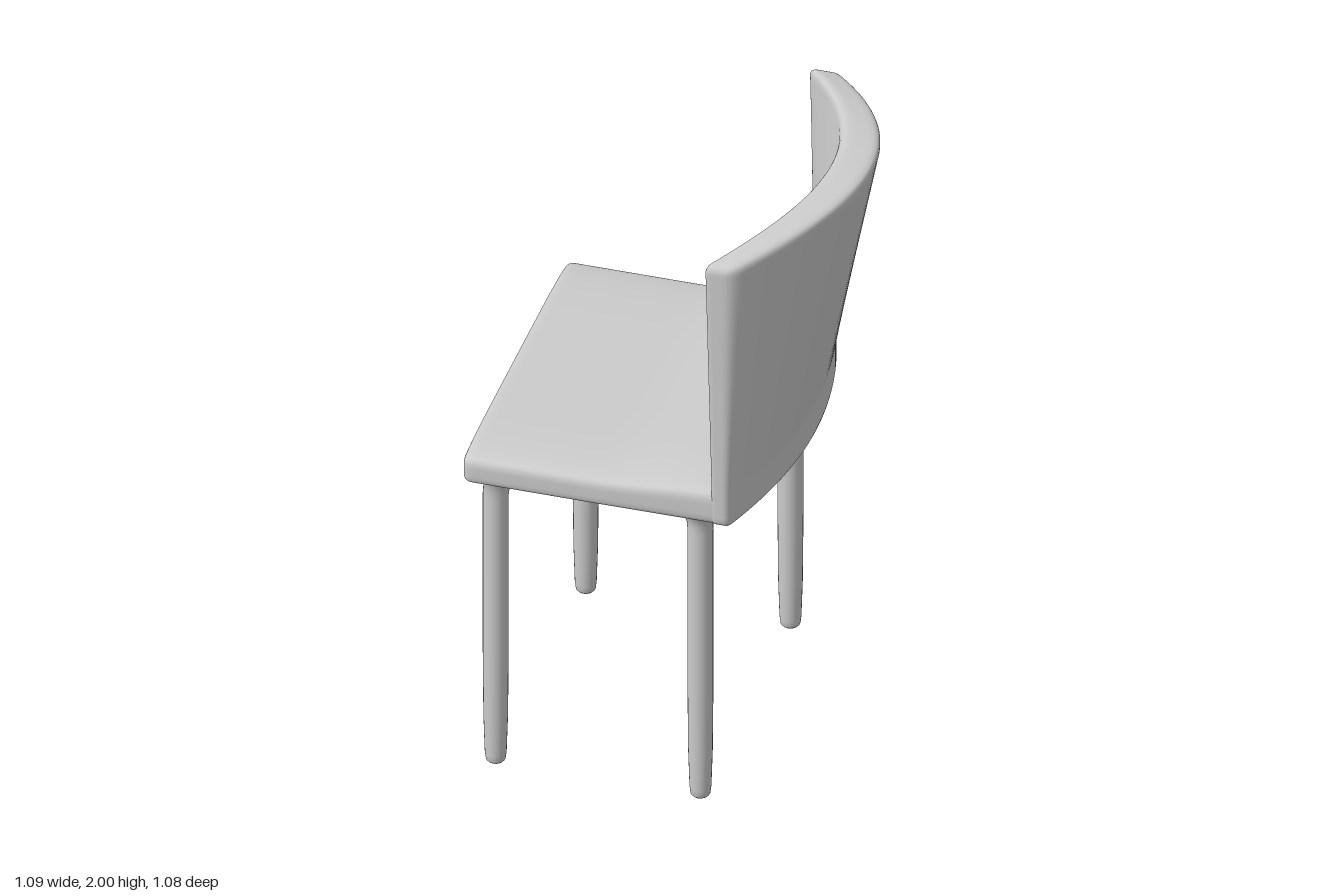
import * as THREE from 'three';
import { mergeVertices } from 'three/addons/utils/BufferGeometryUtils.js';

const { lerp, clamp, smoothstep } = THREE.MathUtils;
const HALF_Z = 0.54, SEAT_Y = 1.01;
const material = new THREE.MeshStandardMaterial({ color: 0xcccccc });

// Box with rounded edges, centred on the origin, whose vertices are then moved by bend(p)
function softBox(size, segments, radius, bend) {
  const box = new THREE.BoxGeometry(2, 2, 2, ...segments);
  box.deleteAttribute('uv');
  box.deleteAttribute('normal');
  const geometry = mergeVertices(box);
  const pos = geometry.attributes.position;
  const p = new THREE.Vector3(), core = new THREE.Vector3();
  const half = size.map((s) => s / 2);
  for (let i = 0; i < pos.count; i++) {
    p.fromBufferAttribute(pos, i);
    // denser rows near the edges
    ['x', 'y', 'z'].forEach((a, k) => {
      p[a] = Math.sin(p[a] * Math.PI / 2) * half[k];
      core[a] = clamp(p[a], radius - half[k], half[k] - radius);
    });
    p.sub(core);
    if (p.lengthSq() > 1e-12) p.setLength(radius);
    p.add(core);
    bend(p);
    pos.setXYZ(i, p.x, p.y, p.z);
  }
  geometry.computeVertexNormals();
  return geometry;
}

function part(name, geometry) {
  const mesh = new THREE.Mesh(geometry, material);
  mesh.name = name;
  return mesh;
}

// Seat: soft slab whose top drops at the sides and rises to the back
function makeSeat() {
  const h = 0.11, xMin = -0.55, xMax = 0.245;
  return part('seat', softBox([xMax - xMin, h, HALF_Z * 2 - 0.004], [32, 10, 36], 0.028, (p) => {
    const t = p.y / h + 0.5;
    const x = p.x + (xMin + xMax) / 2;
    const side = Math.pow(Math.abs(p.z) / HALF_Z, 6);
    const lift = 0.022 * smoothstep(x, -0.15, 0.2) - 0.022 * side;
    p.set(x, SEAT_Y + t * h + t * lift, p.z);
  }));
}

// Backrest: straight at the seat, bowing further back towards a crowned top
function makeBackrest() {
  const thick = 0.1, h = 0.95;
  return part('backrest', softBox([thick, h, HALF_Z * 2], [10, 48, 48], 0.025, (p) => {
    const bow = 1 - (p.z / HALF_Z) ** 2;
    const y = SEAT_Y + (p.y / h + 0.5) * (1.925 + 0.075 * bow - SEAT_Y);
    const v = Math.max(0, (y - 1.13) / 0.87);
    const inner = lerp(0.205 + 0.025 * bow, 0.175 + 0.245 * bow, v);
    const outer = lerp(0.262 + 0.108 * bow, 0.275 + 0.27 * bow, v);
    p.set(lerp(inner, outer, p.x / thick + 0.5), y, p.z);
  }));
}

// Leg: tapered round post, flaring inwards where it meets the seat
function makeLeg(x, z, inX, inZ) {
  const profile = [
    [0, 0], [0.024, 0], [0.029, 0.006], [0.032, 0.03], [0.036, 0.16], [0.038, 0.4],
    [0.038, 0.94], [0.039, 0.965], [0.043, 0.985], [0.051, 1.0], [0.066, 1.02],
  ].map(([r, y]) => new THREE.Vector2(r, y));
  const geometry = new THREE.LatheGeometry(profile, 24);
  const pos = geometry.attributes.position;
  for (let i = 0; i < pos.count; i++) {
    const y = pos.getY(i);
    const shift = 0.022 * Math.max(0, (y - 0.94) / 0.08) ** 2;
    pos.setX(i, pos.getX(i) + inX * shift);
    pos.setZ(i, pos.getZ(i) + inZ * shift);
  }
  const leg = part(inX > 0 ? 'frontLeg' : 'rearLeg', geometry);
  leg.position.set(x, 0, z);
  return leg;
}

export function createModel() {
  const chair = new THREE.Group();
  chair.name = 'chair';
  chair.add(makeSeat(), makeBackrest());
  for (const side of [-1, 1]) {
    chair.add(makeLeg(-0.47, side * 0.457, 1, -side));
    chair.add(makeLeg(0.153, side * 0.457, -1, -side));
  }
  return chair;
}
